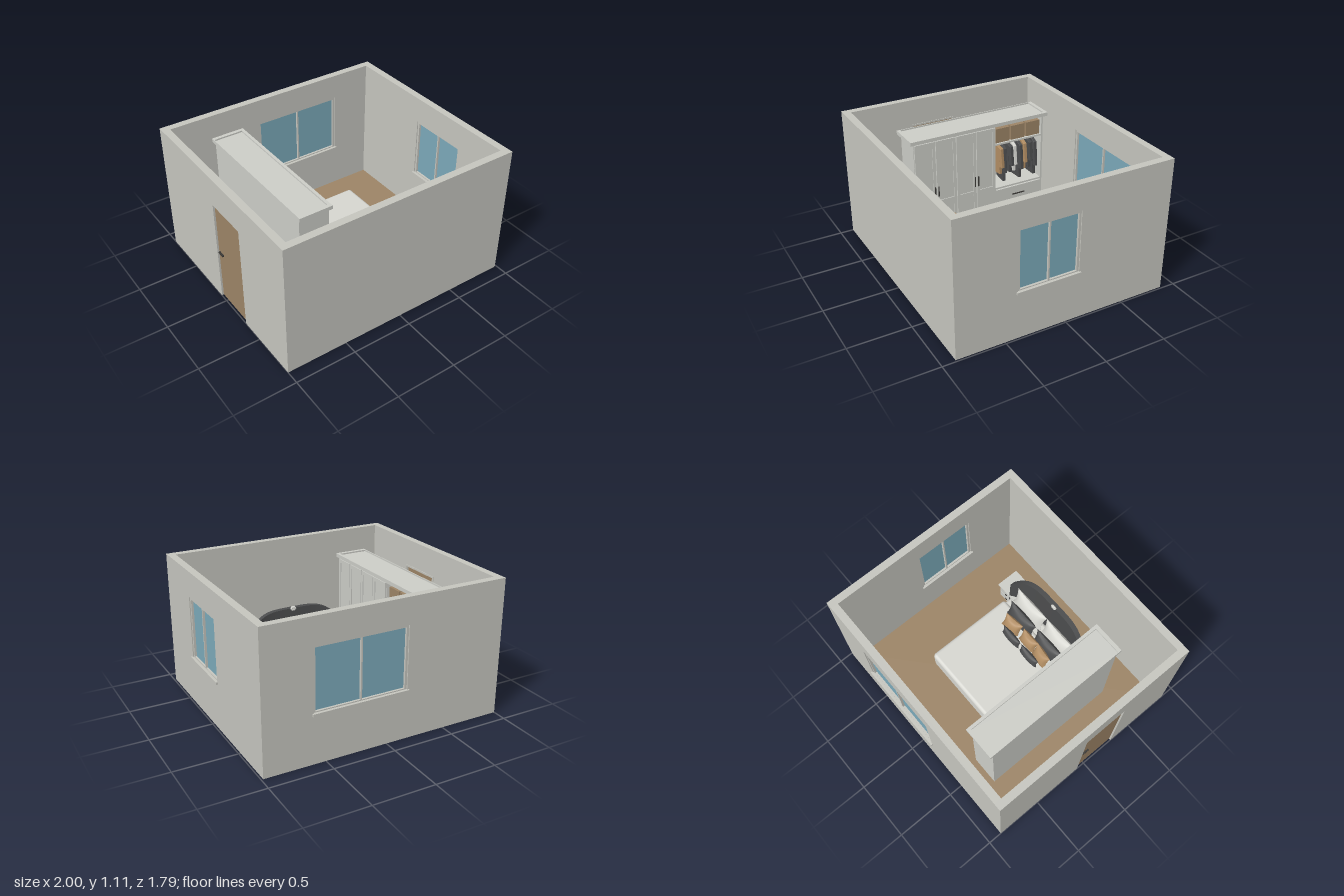
import * as THREE from 'three';
import { RoundedBoxGeometry } from 'three/addons/geometries/RoundedBoxGeometry.js';

const mat = (name, color) => Object.assign(new THREE.MeshStandardMaterial({ color }), { name });

export function createModel() {
  const M = {
    wall: mat('wall plaster', 0xc5c5be),
    wood: mat('wood', 0x9c8466),
    glass: mat('window glass', 0x7ba9b9),
    white: mat('white lacquer', 0xcccdc7),
    linen: mat('linen', 0xd6d6d0),
    dark: mat('charcoal fabric', 0x4b4c4d),
    tan: mat('tan fabric', 0xb08c62),
    metal: mat('dark metal', 0x3a3835),
  };
  const room = new THREE.Group();
  room.name = 'bedroom';

  const add = (parent, name, geo, material, x = 0, y = 0, z = 0) => {
    const mesh = new THREE.Mesh(geo, material);
    mesh.name = name;
    mesh.position.set(x, y, z);
    parent.add(mesh);
    return mesh;
  };
  // Box given by its limits on each axis
  const box = (parent, name, material, [x0, x1], [y0, y1], [z0, z1]) =>
    add(parent, name, new THREE.BoxGeometry(x1 - x0, y1 - y0, z1 - z0), material,
      (x0 + x1) / 2, (y0 + y1) / 2, (z0 + z1) / 2);
  const group = (parent, name) => {
    const g = new THREE.Group();
    g.name = name;
    parent.add(g);
    return g;
  };

  // Walls, as upright outlines with openings
  const T = 0.06, H = 1.11, Y0 = 0.4, Y1 = 0.9;
  const wallGeo = (a, b, window, door) => {
    const pts = [[a, 0]];
    if (door) pts.push([door[0], 0], [door[0], 0.89], [door[1], 0.89], [door[1], 0]);
    pts.push([b, 0], [b, H], [a, H]);
    const shape = new THREE.Shape(pts.map(p => new THREE.Vector2(...p)));
    if (window) {
      const [l, r] = window;
      shape.holes.push(new THREE.Path([[l, Y0], [l, Y1], [r, Y1], [r, Y0]].map(p => new THREE.Vector2(...p))));
    }
    return new THREE.ExtrudeGeometry(shape, { depth: T, bevelEnabled: false });
  };
  add(room, 'frontWall', wallGeo(-0.94, 0.925), M.wall, 0, 0, 0.83);
  add(room, 'backWall', wallGeo(-0.94, 0.925, [-0.165, 0.595]), M.wall, 0, 0, -0.885);
  add(room, 'leftWall', wallGeo(-0.885, 0.89, [-0.105, 0.4]), M.wall, 0.985).rotation.y = -Math.PI / 2;
  add(room, 'rightWall', wallGeo(-0.885, 0.89, null, [-0.085, 0.315]), M.wall, -0.94).rotation.y = -Math.PI / 2;
  box(room, 'floor', M.wood, [-0.94, 0.925], [0.004, 0.02], [-0.825, 0.83]);

  // Windows: local +z points out of the room
  const makeWindow = (name, w, x, z, turn) => {
    const g = group(room, name), h = w / 2, f = 0.018, d = [-0.022, 0.022];
    g.position.set(x, 0, z);
    g.rotation.y = turn;
    for (const s of [-1, 1]) {
      box(g, 'jamb', M.wall, s < 0 ? [-h, -h + f] : [h - f, h], [Y0, Y1], d);
      box(g, 'pane', M.glass, s < 0 ? [-h + f, -0.005] : [0.005, h - f], [Y0 + 0.008, Y1 - f], [-0.004, 0.004]);
    }
    box(g, 'head', M.wall, [-h + f, h - f], [Y1 - f, Y1], d);
    box(g, 'bottomRail', M.wall, [-h + f, h - f], [Y0, Y0 + 0.008], d);
    box(g, 'mullion', M.wall, [-0.006, 0.006], [Y0, Y1 - f], d);
    box(g, 'sill', M.wall, [-h - 0.012, h + 0.012], [Y0 - 0.02, Y0], [-0.045, 0.045]);
  };
  makeWindow('sideWindow', 0.505, 0.955, 0.1475, Math.PI / 2);
  makeWindow('backWindow', 0.76, 0.215, -0.855, Math.PI);

  // Door with frame and a handle on both faces
  const door = group(room, 'door');
  box(door, 'leaf', M.wood, [-0.985, -0.955], [0.006, 0.875], [-0.07, 0.3]);
  box(door, 'jamb', M.wall, [-1, -0.935], [0.004, 0.89], [-0.085, -0.07]);
  box(door, 'jamb', M.wall, [-1, -0.935], [0.004, 0.89], [0.3, 0.315]);
  box(door, 'head', M.wall, [-1, -0.935], [0.875, 0.89], [-0.07, 0.3]);
  for (const [a, b, c] of [[-0.992, -0.985, -0.999], [-0.955, -0.948, -0.941]]) {
    box(door, 'handlePlate', M.metal, [a, b], [0.425, 0.455], [-0.055, -0.04]);
    box(door, 'handle', M.metal, [Math.min(c, a), Math.max(c, b)], [0.44, 0.452], [-0.055, 0.005]);
  }

  // Wardrobe, opening toward +x
  const wardrobe = group(room, 'wardrobe');
  const X = [-0.65, -0.415];
  box(wardrobe, 'plinth', M.white, X, [0.02, 0.06], [-0.66, 0.53]);
  box(wardrobe, 'topPanel', M.white, [-0.655, -0.415], [0.965, 0.988], [-0.66, 0.53]);
  box(wardrobe, 'closedBody', M.white, X, [0.06, 0.965], [-0.2, 0.53]);
  box(wardrobe, 'backPanel', M.white, [-0.65, -0.64], [0.06, 0.965], [-0.66, -0.2]);
  box(wardrobe, 'endPanel', M.white, X, [0.06, 0.965], [-0.66, -0.645]);
  box(wardrobe, 'frontCornice', M.white, [-0.415, -0.39], [0.97, 1.0], [-0.69, 0.56]);
  box(wardrobe, 'backCornice', M.white, [-0.662, -0.655], [0.97, 1.0], [-0.69, 0.56]);
  box(wardrobe, 'endCornice', M.white, [-0.655, -0.415], [0.97, 1.0], [-0.69, -0.66]);
  box(wardrobe, 'endCornice', M.white, [-0.655, -0.415], [0.97, 1.0], [0.53, 0.56]);
  for (let i = 0; i < 4; i++) {
    const a = -0.196 + i * 0.182, b = a + 0.176;
    box(wardrobe, 'doorPanel', M.white, [-0.415, -0.406], [0.065, 0.96], [a, b]);
    for (const z of [a, b - 0.025]) box(wardrobe, 'doorStile', M.white, [-0.406, -0.399], [0.065, 0.96], [z, z + 0.025]);
    for (const y of [0.065, 0.4, 0.93]) box(wardrobe, 'doorRail', M.white, [-0.406, -0.399], [y, y + 0.03], [a + 0.025, b - 0.025]);
    const hz = i % 2 ? a + 0.012 : b - 0.012;
    box(wardrobe, 'doorHandle', M.metal, [-0.399, -0.392], [0.47, 0.56], [hz - 0.004, hz + 0.004]);
  }
  for (const y of [0.38, 0.79]) box(wardrobe, 'shelf', M.white, [-0.64, -0.415], [y, y + 0.015], [-0.645, -0.2]);
  for (let i = 0; i < 2; i++) {
    box(wardrobe, 'drawer', M.white, [-0.64, -0.408], [0.065 + i * 0.157, 0.217 + i * 0.157], [-0.64, -0.205]);
    box(wardrobe, 'drawerHandle', M.metal, [-0.408, -0.4], [0.14 + i * 0.157, 0.148 + i * 0.157], [-0.48, -0.36]);
  }
  for (const z of [-0.635, -0.49, -0.345]) box(wardrobe, 'storageBox', M.wood, [-0.62, -0.43], [0.805, 0.93], [z, z + 0.13]);
  const rail = add(wardrobe, 'rail', new THREE.CylinderGeometry(0.006, 0.006, 0.445, 10), M.metal, -0.53, 0.765, -0.4225);
  rail.rotation.x = Math.PI / 2;
  const coat = new THREE.Shape([[-0.02, 0], [-0.08, -0.03], [-0.1, -0.24], [-0.07, -0.245], [-0.06, -0.12],
    [-0.065, -0.33], [0.065, -0.33], [0.06, -0.12], [0.07, -0.245], [0.1, -0.24], [0.08, -0.03], [0.02, 0]]
    .map(p => new THREE.Vector2(...p)));
  const coatGeo = new THREE.ExtrudeGeometry(coat, { depth: 0.022, bevelSize: 0.004, bevelThickness: 0.004, bevelSegments: 2 });
  [M.dark, M.dark, M.tan, M.dark, M.linen, M.dark, M.dark, M.tan].forEach((m, i) => {
    const c = add(wardrobe, 'hangingCoat', coatGeo, m, -0.53, 0.75, -0.62 + i * 0.048);
    c.scale.y = 0.85 + 0.15 * Math.cos(i * 2.1);
    c.rotation.y = 0.15 * Math.sin(i * 3);
  });

  // Bed, head end toward +z
  const bed = group(room, 'bed');
  bed.position.x = 0.035;
  box(bed, 'base', M.dark, [-0.4, 0.4], [0.02, 0.12], [-0.37, 0.5]);
  add(bed, 'mattress', new RoundedBoxGeometry(0.82, 0.12, 0.88, 4, 0.03), M.linen, 0, 0.165, 0.06);
  const duvet = new RoundedBoxGeometry(0.85, 0.2, 0.78, 4, 0.03);
  add(bed, 'duvet', duvet, M.linen, 0, 0.145, -0.01);

  // Headboard wraps forward at its ends and arches at the top
  const hb = new THREE.BoxGeometry(0.85, 1, 0.06, 32, 6, 2);
  const p = hb.attributes.position;
  for (let i = 0; i < p.count; i++) {
    const u = p.getX(i) / 0.425, v = p.getY(i) + 0.5;
    p.setY(i, 0.02 + v * (0.57 - 0.15 * u ** 4));
    p.setZ(i, p.getZ(i) * (1 - 0.3 * v) + 0.545 - 0.09 * u ** 4 + 0.012 * v);
  }
  hb.computeVertexNormals();
  add(bed, 'headboard', hb, M.dark);
  const rosette = group(bed, 'rosette');
  for (let i = 0; i < 6; i++) {
    const a = i * Math.PI / 3;
    add(rosette, 'petal', new THREE.SphereGeometry(0.012, 10, 8), M.linen, 0.016 * Math.cos(a), 0.585 + 0.01 * Math.sin(a), 0.54);
  }

  // Cushions: two bulged faces with pinched sides
  const cushion = (m, x, y, z, w, h, t, lean = 0.35, turn = 0) => {
    const g = new THREE.BoxGeometry(2, 2, 2, 14, 14, 1), q = g.attributes.position;
    for (let i = 0; i < q.count; i++) {
      const u = q.getX(i), v = q.getY(i), s = Math.sign(q.getZ(i));
      const bulge = Math.sqrt(Math.max(0, (1 - u * u) * (1 - v * v)));
      q.setXYZ(i, u * w / 2 * (0.9 + 0.1 * v * v), v * h / 2 * (0.88 + 0.12 * u * u), s * t / 2 * (0.04 + bulge));
    }
    g.computeVertexNormals();
    const c = add(bed, 'cushion', g, m, x, y, z);
    c.rotation.set(lean, turn, 0);
  };
  for (const s of [-1, 1]) {
    cushion(M.linen, s * 0.18, 0.34, 0.445, 0.36, 0.2, 0.09);
    cushion(M.dark, s * 0.165, 0.325, 0.345, 0.31, 0.17, 0.09, 0.3);
    cushion(M.tan, s * 0.18, 0.31, 0.26, 0.18, 0.15, 0.08, 0.4, s * 0.15);
    cushion(M.dark, s * 0.11, 0.285, 0.19, 0.21, 0.1, 0.06, 0.2);
  }
  cushion(M.tan, -0.015, 0.31, 0.27, 0.18, 0.14, 0.08, 0.4);

  // Nightstand
  const stand = group(room, 'nightstand');
  box(stand, 'body', M.white, [0.41, 0.59], [0.05, 0.225], [0.445, 0.625]);
  box(stand, 'top', M.white, [0.4, 0.6], [0.225, 0.24], [0.43, 0.63]);
  for (const y of [0.06, 0.143]) {
    box(stand, 'drawer', M.white, [0.418, 0.582], [y, y + 0.075], [0.437, 0.445]);
    box(stand, 'knob', M.metal, [0.49, 0.51], [y + 0.035, y + 0.043], [0.43, 0.437]);
  }
  for (const x of [0.415, 0.57]) for (const z of [0.45, 0.605])
    box(stand, 'foot', M.metal, [x, x + 0.015], [0.02, 0.05], [z, z + 0.015]);

  return room;
}
